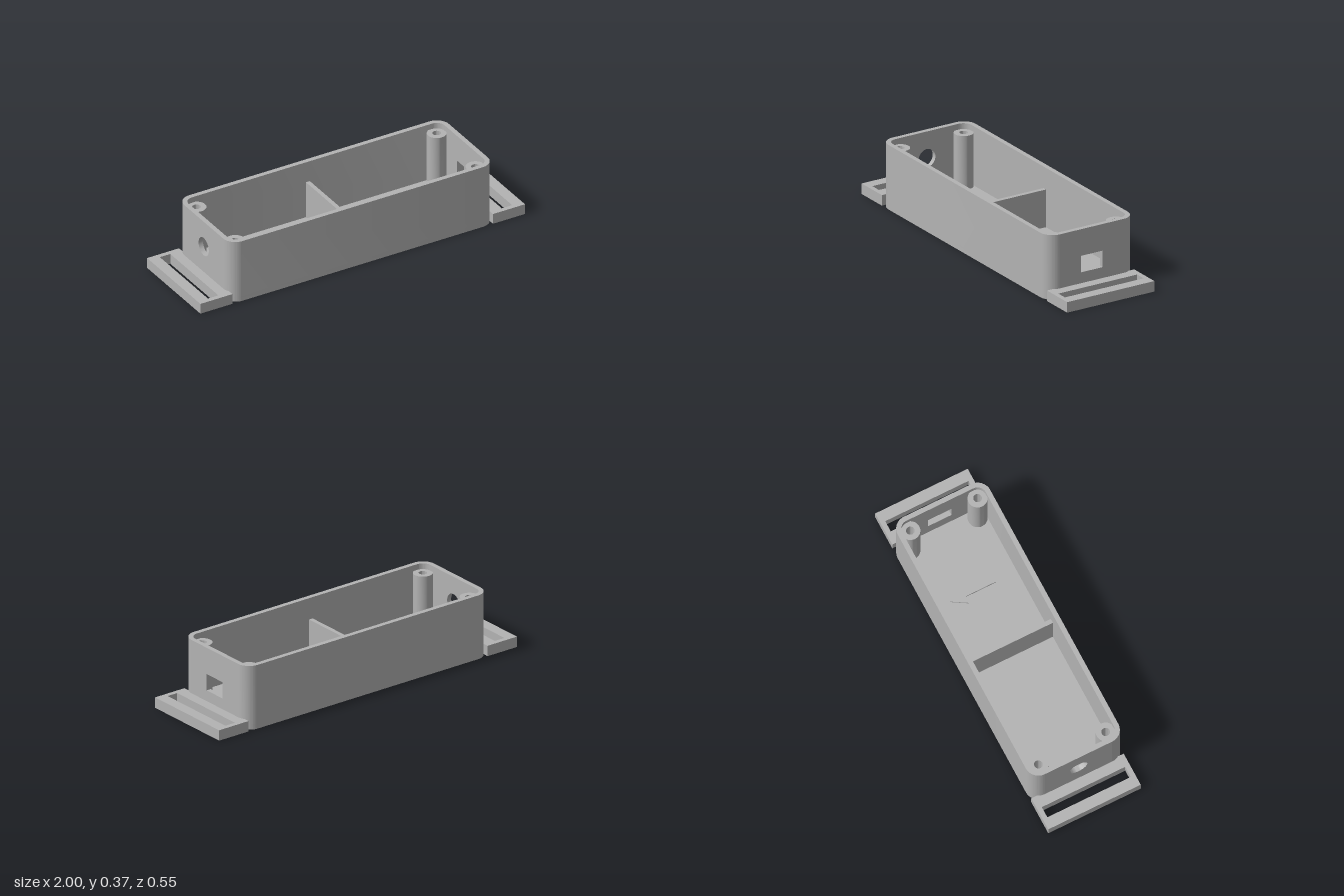
import * as THREE from 'three';
import { toCreasedNormals } from 'three/addons/utils/BufferGeometryUtils.js';

const X = 0.815, Z = 0.275, H = 0.368;   // outer half length, half width, height
const R = 0.075, WALL = 0.027, FLOOR = 0.03;
const CX = X - R, CZ = Z - R;            // corner centres, shared by the screw posts

const grey = new THREE.MeshStandardMaterial({ color: 0xb3b3b3 });
grey.name = 'grey plastic';

function rect(x0, y0, x1, y1, Type = THREE.Shape) {
  return new Type([[x0, y0], [x1, y0], [x1, y1], [x0, y1]].map(p => new THREE.Vector2(...p)));
}

function circle(x, y, r, Type = THREE.Shape) {
  const c = new Type();
  c.absarc(x, y, r, 0, Math.PI * 2, false);
  return c;
}

function extrude(shape, depth) {
  return new THREE.ExtrudeGeometry(shape, { depth, bevelEnabled: false, curveSegments: 20 });
}

// Plan outline raised from y0 to y1 (shape y points to -z)
function upright(shape, y0, y1) {
  return toCreasedNormals(extrude(shape, y1 - y0).rotateX(-Math.PI / 2).translate(0, y0, 0), 0.6);
}

export function createModel() {
  const group = new THREE.Group();
  group.name = 'enclosure';
  const add = (name, geometry) => {
    const mesh = new THREE.Mesh(geometry, grey);
    mesh.name = name;
    group.add(mesh);
    return mesh;
  };

  // Floor with rounded corners
  const base = new THREE.Shape();
  base.absarc(CX, CZ, R, 0, Math.PI / 2, false);
  base.absarc(-CX, CZ, R, Math.PI / 2, Math.PI, false);
  base.absarc(-CX, -CZ, R, Math.PI, Math.PI * 1.5, false);
  base.absarc(CX, -CZ, R, Math.PI * 1.5, Math.PI * 2, false);
  add('floor', upright(base, 0, FLOOR));

  // Long walls including their rounded corners
  const side = new THREE.Shape();
  side.absarc(CX, CZ, R, 0, Math.PI / 2, false);
  side.absarc(-CX, CZ, R, Math.PI / 2, Math.PI, false);
  side.absarc(-CX, CZ, R - WALL, Math.PI, Math.PI / 2, true);
  side.absarc(CX, CZ, R - WALL, Math.PI / 2, 0, true);
  const sideGeometry = upright(side, FLOOR, H);
  add('backWall', sideGeometry);
  add('frontWall', sideGeometry).rotation.y = Math.PI;

  // End walls, one with a square port and one with a round cable hole
  const endWall = (name, hole, x) => {
    const panel = rect(-CZ, FLOOR, CZ, H);
    panel.holes.push(hole);
    add(name, toCreasedNormals(extrude(panel, WALL).rotateY(Math.PI / 2).translate(x, 0, 0), 0.6));
  };
  endWall('leftEndWall', rect(-0.069, 0.122, 0.069, 0.216, THREE.Path), X - WALL);
  endWall('rightEndWall', circle(0, 0.215, 0.053, THREE.Path), -X);

  // Strap tabs with slots
  const tab = rect(0.803, -Z, 1, Z);
  tab.holes.push(rect(0.873, -0.248, 0.937, 0.248, THREE.Path));
  const tabGeometry = upright(tab, 0, 0.06);
  add('leftStrapTab', tabGeometry);
  add('rightStrapTab', tabGeometry).rotation.y = Math.PI;

  // Hollow screw posts in the corners
  const post = circle(0, 0, 0.053);
  post.holes.push(circle(0, 0, 0.023, THREE.Path));
  const postGeometry = upright(post, FLOOR, 0.335);
  for (const sx of [-1, 1]) {
    for (const sz of [-1, 1]) add('screwPost', postGeometry).position.set(sx * CX, 0, sz * CZ);
  }

  // Inner partition
  add('divider', upright(rect(-0.037, -0.25, -0.013, 0.25), FLOOR, 0.245));

  // Direction arrow on the floor
  const arrow = new THREE.Shape([
    [-0.012, -0.12], [0.012, -0.12], [0.012, 0.06], [0.053, 0.06],
    [0, 0.147], [-0.053, 0.06], [-0.012, 0.06],
  ].map(p => new THREE.Vector2(...p)));
  add('floorArrow', upright(arrow, FLOOR, FLOOR + 0.009)).position.x = 0.385;

  return group;
}
